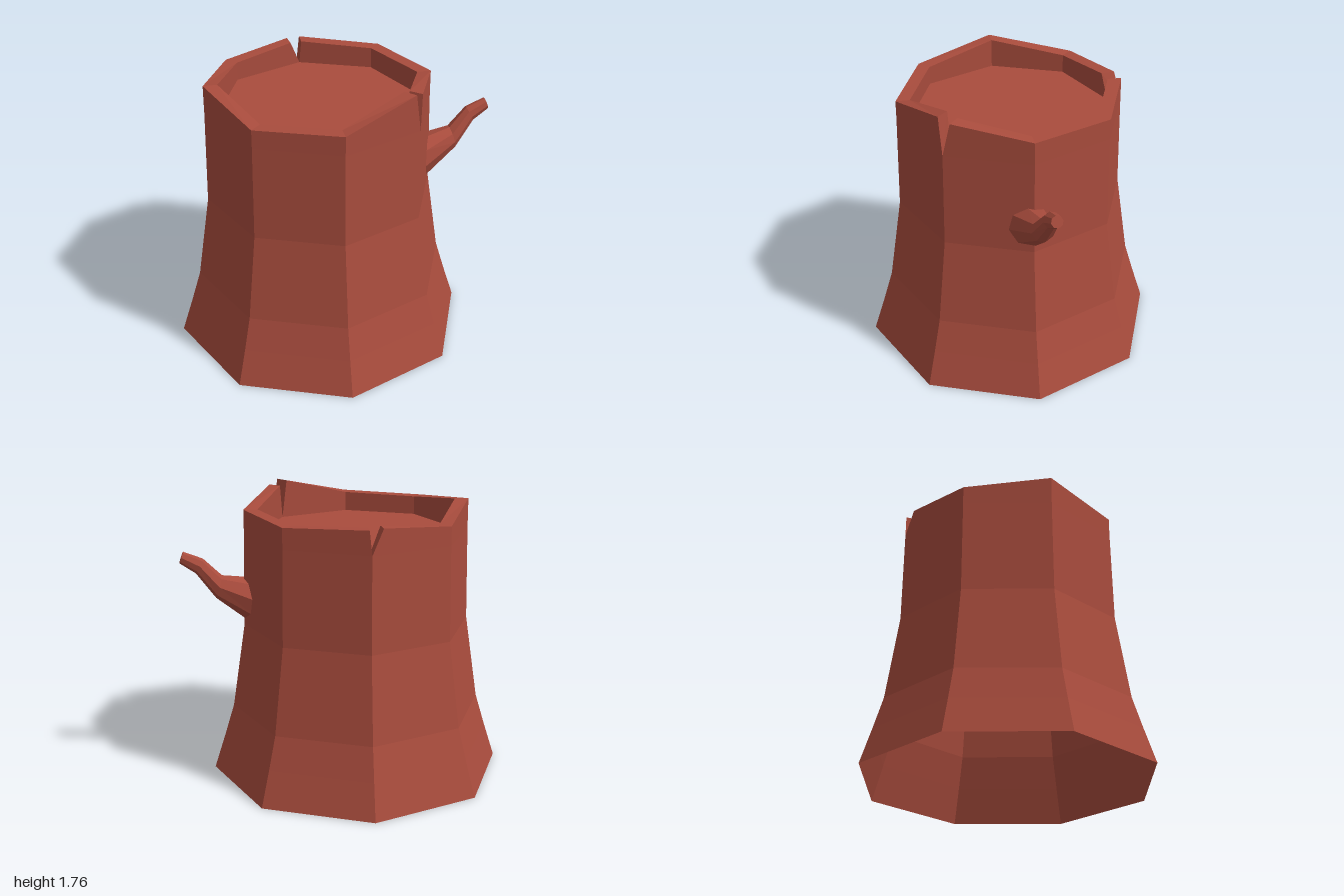
import * as THREE from 'three';

const wood = new THREE.MeshStandardMaterial({ color: 0xa94c3d, flatShading: true, side: THREE.DoubleSide });
wood.name = 'reddish wood';

const CX = -0.09, RIM_BASE = 1.53, OUTER = 0.69, INNER = 0.605;

// Corner of the eight-sided trunk; corner 0 is at +x, corner 2 at the front.
const corner = (i, r, y) => {
  const a = (i * Math.PI) / 4;
  return new THREE.Vector3(CX + r * Math.cos(a), y, r * Math.sin(a));
};

// Mesh with flat faces from a list of quads, each four points.
function quadMesh(name, quads) {
  const points = quads.flatMap(([a, b, c, d]) => [a, b, c, a, c, d]);
  const geometry = new THREE.BufferGeometry().setFromPoints(points);
  geometry.computeVertexNormals();
  const mesh = new THREE.Mesh(geometry, wood);
  mesh.name = name;
  return mesh;
}

// Joins consecutive closed loops of points with quads.
function skin(loops) {
  const quads = [];
  for (let k = 0; k + 1 < loops.length; k++) {
    const lo = loops[k], hi = loops[k + 1], n = lo.length;
    for (let i = 0; i < n; i++) {
      const j = (i + 1) % n;
      quads.push([lo[i], hi[i], hi[j], lo[j]]);
    }
  }
  return quads;
}

// Flared trunk, open underneath
function makeTrunk() {
  const profile = [[0.91, 0], [0.84, 0.22], [0.78, 0.42], [0.70, 0.95], [OUTER, RIM_BASE]];
  const loops = profile.map(([r, y]) => Array.from({ length: 8 }, (_, i) => corner(i, r, y)));
  return quadMesh('trunk', skin(loops));
}

// Uneven bark rim: per side, heights at both ends and how far each end is cut back by a split
function makeRim() {
  const sides = [
    [1.67, 1.74, 0, 0.09],
    [1.765, 1.65, 0.07, 0],
    [1.65, 1.645, 0, 0],
    [1.645, 1.71, 0, 0],
    [1.71, 1.645, 0, 0],
    [1.645, 1.68, 0, 0.14],
    [1.675, 1.66, 0.03, 0],
    [1.66, 1.67, 0, 0],
  ];
  const quads = [];
  sides.forEach(([y0, y1, cut0, cut1], i) => {
    const edge = (r) => {
      const a = corner(i, r, RIM_BASE), b = corner(i + 1, r, RIM_BASE);
      const topA = a.clone().lerp(b, cut0).setY(y0);
      const topB = b.clone().lerp(a, cut1).setY(y1);
      return { a, b, topA, topB };
    };
    const o = edge(OUTER), n = edge(INNER);
    quads.push([o.a, o.topA, o.topB, o.b]);
    quads.push([n.b, n.topB, n.topA, n.a]);
    quads.push([o.topA, n.topA, n.topB, o.topB]);
    // walls of the V-shaped splits
    if (cut0) quads.push([o.a, n.a, n.topA, o.topA]);
    if (cut1) quads.push([o.b, o.topB, n.topB, n.b]);
    // ledge under the rim
    quads.push([o.a, o.b, n.b, n.a]);
  });
  return quadMesh('rim', quads);
}

// Sunken cut surface inside the rim
function makeCutSurface() {
  const geometry = new THREE.CircleGeometry(INNER, 8).rotateX(-Math.PI / 2);
  const mesh = new THREE.Mesh(geometry, wood);
  mesh.name = 'cutSurface';
  mesh.position.set(CX, RIM_BASE, 0);
  return mesh;
}

// Broken branch: rings as x, y, z, radius, tilt
function makeBranch() {
  const rings = [
    [0.595, 1.11, 0.015, 0.135, 0],
    [0.76, 1.20, -0.015, 0.072, 0.28],
    [0.875, 1.338, -0.035, 0.05, 0.48],
    [0.982, 1.395, -0.04, 0.037, 0.34],
    [0.982, 1.395, -0.04, 0, 0.34],
  ];
  const loops = rings.map(([x, y, z, r, tilt], k) =>
    Array.from({ length: 8 }, (_, i) => {
      const a = ((i + 0.2) * Math.PI) / 4;
      const up = r * Math.cos(a), side = r * Math.sin(a) * (k === 0 ? 0.93 : 0.95);
      // the first ring wraps around the trunk corner
      const wrap = k === 0 ? 0.35 * Math.abs(side) : 0;
      return new THREE.Vector3(x - up * Math.sin(tilt) - wrap, y + up * Math.cos(tilt), z + side);
    }));
  return quadMesh('branch', skin(loops));
}

export function createModel() {
  const group = new THREE.Group();
  group.name = 'treeStump';
  group.add(makeTrunk(), makeRim(), makeCutSurface(), makeBranch());
  return group;
}
